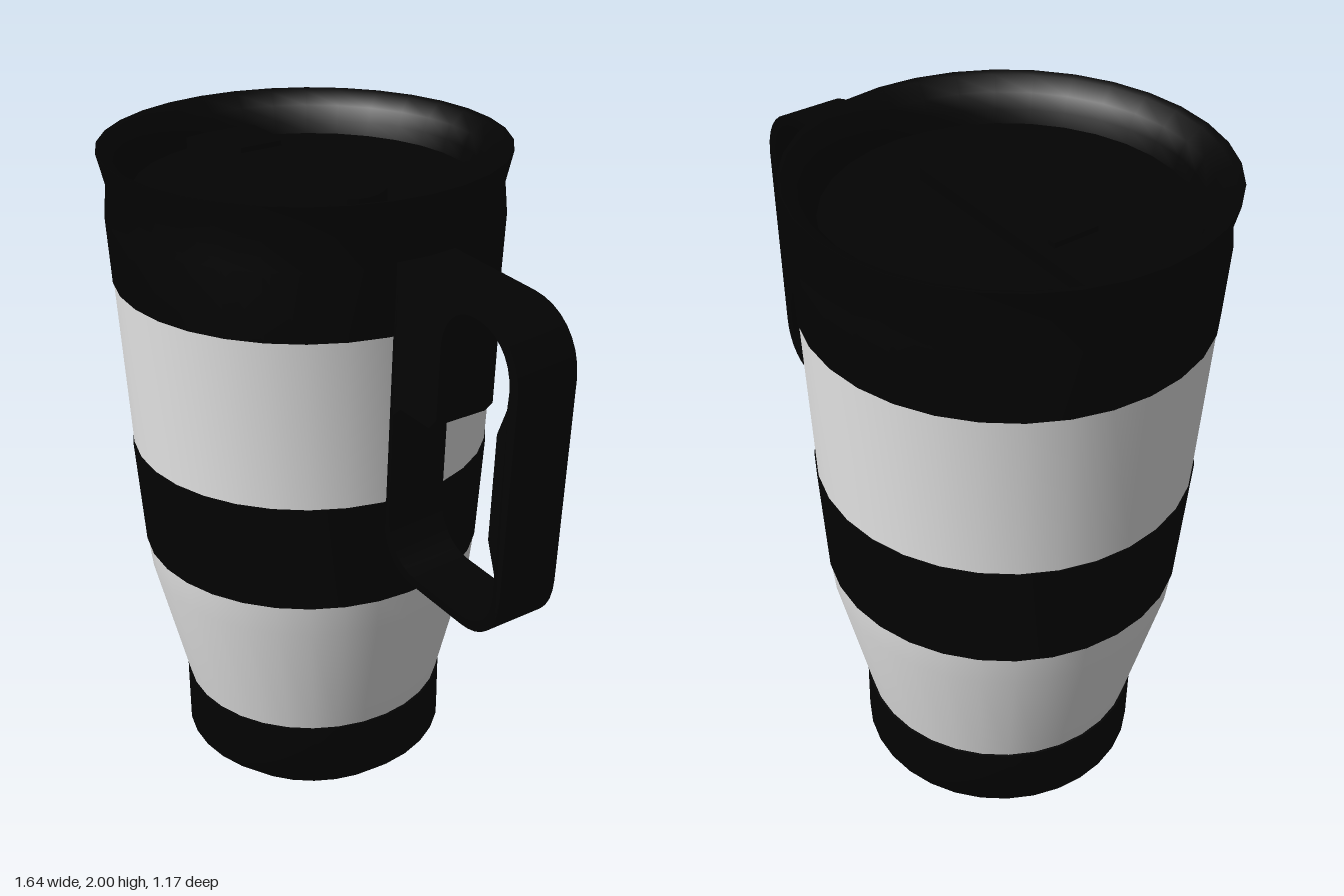
import * as THREE from 'three';
import { toCreasedNormals } from 'three/addons/utils/BufferGeometryUtils.js';

const SEGMENTS = 32;
const AXIS_X = -0.235;

export function createModel() {
  const model = new THREE.Group();
  model.name = 'travelMug';

  const black = new THREE.MeshStandardMaterial({ color: 0x030303 });
  black.name = 'black plastic';
  const steel = new THREE.MeshStandardMaterial({ color: 0xe6e6e6 });
  steel.name = 'light grey steel';

  const add = (name, geometry, material, parent = model) => {
    const mesh = new THREE.Mesh(geometry, material);
    mesh.name = name;
    parent.add(mesh);
    return mesh;
  };

  // Round parts share the cup axis
  const cup = new THREE.Group();
  cup.name = 'cup';
  cup.position.x = AXIS_X;
  model.add(cup);

  const turn = (name, profile, material) => {
    const points = profile.map(([r, y]) => new THREE.Vector2(r, y));
    add(name, toCreasedNormals(new THREE.LatheGeometry(points, SEGMENTS), 1), material, cup);
  };

  // Base with chamfered foot and a slightly hollow steel underside
  turn('base', [[0.31, 0.012], [0.315, 0], [0.355, 0], [0.418, 0.06], [0.418, 0.255], [0.4, 0.255]], black);
  turn('underside', [[0, 0.035], [0.16, 0.03], [0.313, 0.008]], steel);

  // Steel walls and the grip band between them
  turn('lowerWall', [[0.41, 0.25], [0.508, 0.67], [0.519, 0.77]], steel);
  turn('gripBand', [[0.515, 0.77], [0.522, 0.77], [0.543, 1.11], [0.535, 1.11]], black);
  turn('upperWall', [[0.539, 1.11], [0.563, 1.625]], steel);

  // Collar, flared rim and sunken lid
  turn('collarAndLid', [
    [0.555, 1.622], [0.566, 1.622], [0.575, 1.82], [0.566, 1.91], [0.587, 2],
    [0.565, 1.995], [0.525, 1.96], [0.505, 1.92], [0.495, 1.88], [0, 1.88],
  ], black);

  // Tapered sliding lid tab with a rounded end and a thumb ridge
  const tab = new THREE.Shape();
  tab.moveTo(-0.47, -0.12);
  tab.lineTo(0.27, -0.09);
  tab.quadraticCurveTo(0.35, 0, 0.27, 0.09);
  tab.lineTo(-0.47, 0.12);
  tab.quadraticCurveTo(-0.5, 0, -0.47, -0.12);
  const tabGeometry = new THREE.ExtrudeGeometry(tab, { depth: 0.045, bevelEnabled: false, curveSegments: 6 });
  tabGeometry.rotateX(-Math.PI / 2);
  add('lidSlider', tabGeometry, black, cup).position.y = 1.872;
  const ridge = add('sliderRidge', new THREE.BoxGeometry(0.025, 0.02, 0.14), black, cup);
  ridge.position.set(-0.25, 1.922, 0);

  // Handle outline with its finger opening
  const outline = new THREE.Shape();
  outline.moveTo(0.28, 1.83);
  outline.lineTo(0.34, 1.83);
  outline.lineTo(0.65, 1.815);
  outline.bezierCurveTo(0.75, 1.81, 0.822, 1.74, 0.822, 1.64);
  outline.lineTo(0.795, 1.04);
  outline.bezierCurveTo(0.79, 0.94, 0.73, 0.885, 0.64, 0.888);
  outline.lineTo(0.42, 0.898);
  outline.bezierCurveTo(0.35, 0.903, 0.3, 0.95, 0.29, 1.03);
  outline.lineTo(0.28, 1.1);

  const opening = new THREE.Path();
  opening.moveTo(0.322, 1.39);
  opening.lineTo(0.355, 1.42);
  opening.lineTo(0.48, 1.415);
  opening.lineTo(0.51, 1.45);
  opening.lineTo(0.52, 1.67);
  opening.bezierCurveTo(0.53, 1.74, 0.58, 1.785, 0.64, 1.785);
  opening.bezierCurveTo(0.73, 1.785, 0.79, 1.73, 0.79, 1.64);
  opening.lineTo(0.785, 1.59);
  opening.lineTo(0.752, 1.51);
  opening.lineTo(0.738, 1.2);
  opening.lineTo(0.768, 1.11);
  opening.lineTo(0.766, 1.04);
  opening.bezierCurveTo(0.76, 0.96, 0.71, 0.915, 0.64, 0.916);
  opening.lineTo(0.43, 0.925);
  opening.bezierCurveTo(0.36, 0.93, 0.31, 0.99, 0.308, 1.06);
  // The opening runs opposite to the outline so its walls face inward
  outline.holes.push(new THREE.Path(opening.getPoints(8).reverse()));

  const handleGeometry = new THREE.ExtrudeGeometry(outline, { depth: 0.19, bevelEnabled: false, curveSegments: 8 });
  handleGeometry.translate(0, 0, -0.095);
  add('handle', toCreasedNormals(handleGeometry, 0.5), black);

  return model;
}
